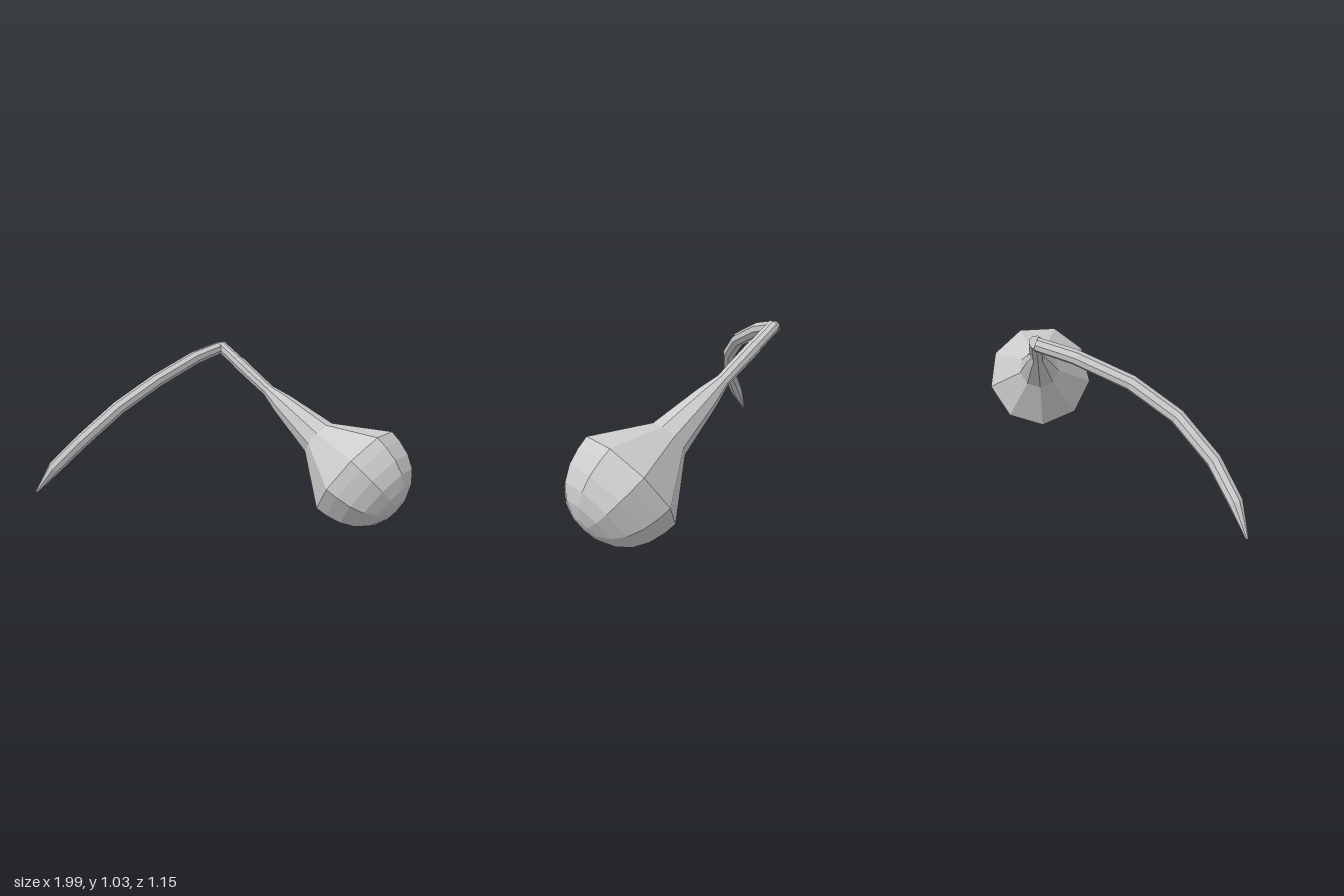
import * as THREE from 'three';

const material = new THREE.MeshStandardMaterial({ color: 0xcccccc, flatShading: true });
const V = (x, y, z) => new THREE.Vector3(x, y, z);

// Bulb and neck: nine-sided turned body, [radius, distance from stem end]
function makeBulb() {
  const profile = [
    [0, 0], [0.036, 0], [0.037, 0.155], [0.041, 0.165], [0.038, 0.43], [0.068, 0.56], [0.117, 0.86],
    [0.315, 1.155], [0.305, 1.225], [0.28, 1.31], [0.235, 1.385],
    [0.17, 1.44], [0.085, 1.475], [0, 1.485],
  ].map(([r, t]) => new THREE.Vector2(r, t));
  const mesh = new THREE.Mesh(new THREE.LatheGeometry(profile, 9), material);
  mesh.name = 'bulb';

  // Lean the turning axis forward, down and to the side
  const axis = V(0.423, -0.591, 0.688).normalize();
  const side = V(-0.265, -0.06, 0.16);
  side.addScaledVector(axis, -side.dot(axis)).normalize();
  const across = new THREE.Vector3().crossVectors(axis, side);
  mesh.quaternion.setFromRotationMatrix(new THREE.Matrix4().makeBasis(across, axis, side));
  mesh.position.set(0.185, 1.01, -0.54);
  return mesh;
}

// Curved stalk: rings swept along a planar bent path, tapering to a point
function makeStalk() {
  const path = [
    V(0.185, 1.0, -0.54), V(-0.01, 0.95, -0.49), V(-0.29, 0.835, -0.42), V(-0.535, 0.695, -0.4),
    V(-0.75, 0.515, -0.43), V(-0.9, 0.355, -0.5), V(-0.995, 0.205, -0.565),
  ];
  const radii = [0.037, 0.04, 0.041, 0.041, 0.041, 0.039, 0.008];
  const sides = 8;
  const normal = new THREE.Vector3()
    .crossVectors(path[3].clone().sub(path[0]), path[5].clone().sub(path[0])).normalize();
  const positions = [];
  const index = [];
  path.forEach((p, i) => {
    const tangent = path[Math.min(i + 1, path.length - 1)].clone().sub(path[Math.max(i - 1, 0)]).normalize();
    const bend = new THREE.Vector3().crossVectors(tangent, normal).normalize();
    for (let j = 0; j < sides; j++) {
      const a = ((j + 0.5) / sides) * Math.PI * 2;
      const q = p.clone()
        .addScaledVector(normal, Math.cos(a) * radii[i])
        .addScaledVector(bend, Math.sin(a) * radii[i]);
      positions.push(q.x, q.y, q.z);
    }
  });
  for (let i = 0; i < path.length - 1; i++) {
    for (let j = 0; j < sides; j++) {
      const k = (j + 1) % sides;
      const a = i * sides + j, b = i * sides + k;
      index.push(a, a + sides, b, b, a + sides, b + sides);
    }
  }
  // End caps
  const last = (path.length - 1) * sides;
  for (let j = 1; j < sides - 1; j++) {
    index.push(0, j, j + 1, last, last + j + 1, last + j);
  }
  const geometry = new THREE.BufferGeometry();
  geometry.setAttribute('position', new THREE.Float32BufferAttribute(positions, 3));
  geometry.setIndex(index);
  geometry.computeVertexNormals();
  const stalkMaterial = material.clone();
  stalkMaterial.side = THREE.DoubleSide;
  const mesh = new THREE.Mesh(geometry, stalkMaterial);
  mesh.name = 'stalk';
  return mesh;
}

export function createModel() {
  const model = new THREE.Group();
  model.name = 'hangingBulb';
  model.add(makeBulb(), makeStalk());
  return model;
}
